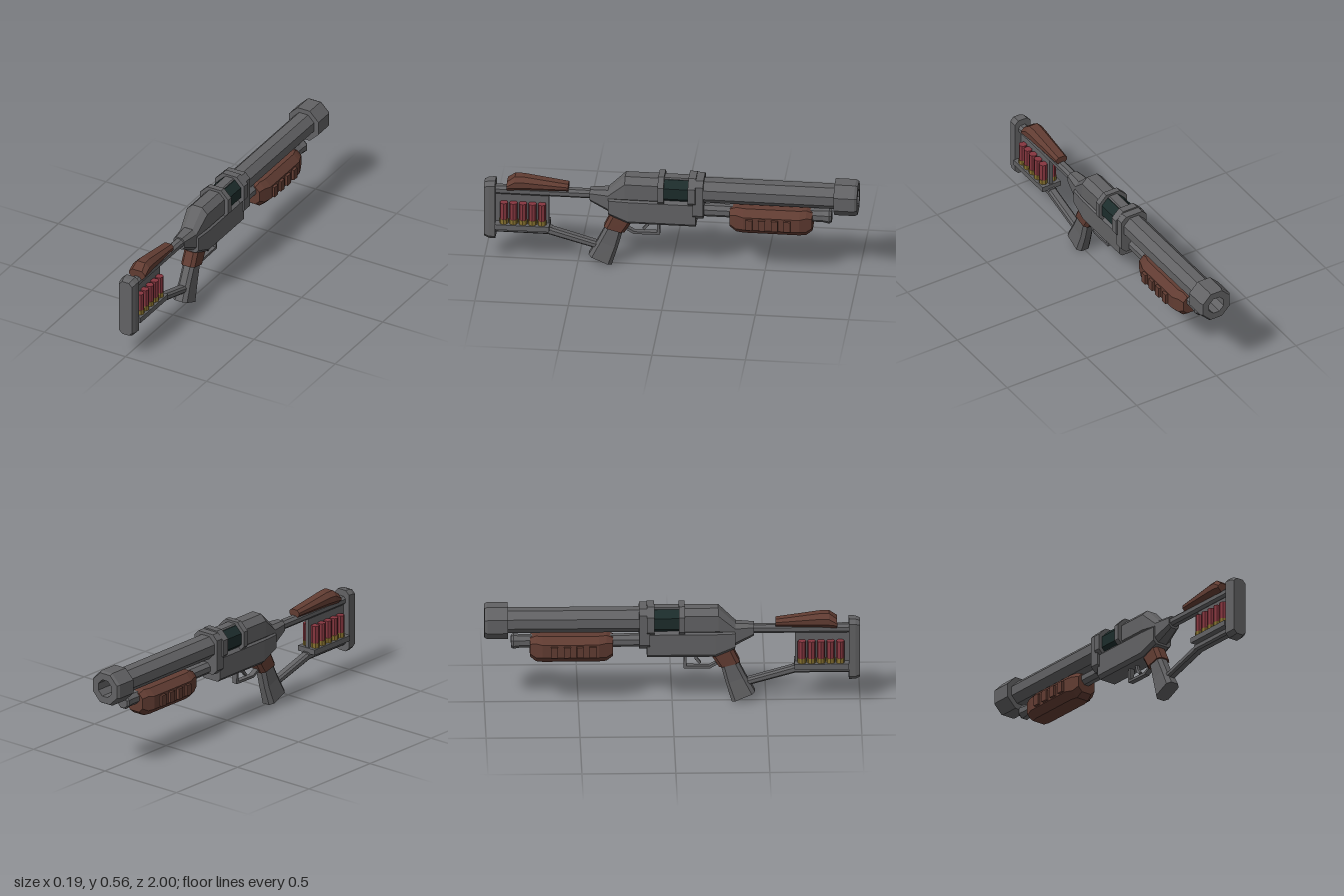
import * as THREE from 'three';

const mat = (name, color) => {
  const m = new THREE.MeshStandardMaterial({ color });
  m.name = name;
  return m;
};

// flat-faceted copy of a geometry
function facet(g) {
  const f = g.index ? g.toNonIndexed() : g;
  f.computeVertexNormals();
  return f;
}

// Chamfered rectangle standing on the line (z0,y0)-(z1,y1), half width w, chamfer c
function section([z0, y0, z1, y1, w, c]) {
  const len = Math.hypot(z1 - z0, y1 - y0);
  const outline = [[c - w, 0], [w - c, 0], [w, c], [w, len - c], [w - c, len], [c - w, len], [-w, len - c], [-w, c]];
  return outline.map(([x, t]) => [x, y0 + (y1 - y0) * t / len, z0 + (z1 - z0) * t / len]);
}

// Skin over a row of sections, closed at both ends
function loft(rows) {
  const s = rows.map(section), pos = [];
  const tri = (a, b, c) => pos.push(...a, ...b, ...c);
  for (let k = 0; k < s.length - 1; k++) {
    for (let i = 0; i < 8; i++) {
      const j = (i + 1) % 8;
      tri(s[k][i], s[k][j], s[k + 1][j]);
      tri(s[k][i], s[k + 1][j], s[k + 1][i]);
    }
  }
  const last = s[s.length - 1];
  for (let i = 1; i < 7; i++) {
    tri(s[0][0], s[0][i + 1], s[0][i]);
    tri(last[0], last[i], last[i + 1]);
  }
  const g = new THREE.BufferGeometry();
  g.setAttribute('position', new THREE.Float32BufferAttribute(pos, 3));
  return facet(g);
}

// Loft along z: rows of [z, bottom, top, half width, chamfer]
const along = (rows) => loft(rows.map(([z, a, b, w, c]) => [z, a, z, b, w, c]));
const prism = (z0, z1, a, b, w, c) => along([[z0, a, b, w, c], [z1, a, b, w, c]]);

export function createModel() {
  const model = new THREE.Group();
  model.name = 'pumpGun';
  const steel = mat('steel grey', 0x626264);
  const wood = mat('brown grip', 0x613c32);
  const teal = mat('dark teal', 0x1c2c2b);
  const red = mat('shell red', 0x86363f);
  const brass = mat('shell brass', 0x87712f);
  const add = (name, geometry, material, parent = model) => {
    const m = new THREE.Mesh(geometry, material);
    m.name = name;
    parent.add(m);
    return m;
  };

  // barrel and hollow muzzle
  add('barrel', prism(-0.89, -0.12, 0.41, 0.536, 0.064, 0.037), steel);
  const profile = [[0.06, 0.875], [0.099, 0.875], [0.099, 0.985], [0.09, 1], [0.05, 1], [0.05, 0.9], [0, 0.9]];
  const muzzle = new THREE.LatheGeometry(profile.map(([r, y]) => new THREE.Vector2(r, y)), 8, Math.PI / 8);
  muzzle.rotateX(-Math.PI / 2).translate(0, 0.471, 0);
  add('muzzle', facet(muzzle), steel);

  // magazine tube with stepped cap
  add('magazineTube', prism(-0.81, -0.12, 0.32, 0.386, 0.033, 0.019), steel);
  add('magazineCap', along([
    [-0.858, 0.322, 0.384, 0.031, 0.018], [-0.845, 0.314, 0.392, 0.039, 0.023],
    [-0.81, 0.32, 0.386, 0.033, 0.019],
  ]), steel);

  // sliding fore grip with ribs
  add('foreGrip', along([
    [-0.757, 0.275, 0.38, 0.055, 0.025], [-0.725, 0.25, 0.395, 0.068, 0.032], [-0.69, 0.25, 0.395, 0.082, 0.036],
    [-0.39, 0.25, 0.395, 0.082, 0.036], [-0.35, 0.25, 0.395, 0.068, 0.032], [-0.315, 0.275, 0.38, 0.055, 0.025],
  ]), wood);
  for (const side of [-1, 1]) {
    for (let i = 0; i < 4; i++) {
      const rib = add('gripRib', facet(new THREE.BoxGeometry(0.03, 0.06, 0.036)), wood);
      rib.position.set(side * 0.082, 0.321, -0.423 - i * 0.068);
    }
  }

  // receiver, collar, and exposed drum
  add('lowerReceiver', along([
    [-0.135, 0.273, 0.425, 0.067, 0.018], [0.23, 0.273, 0.425, 0.067, 0.018], [0.335, 0.315, 0.425, 0.06, 0.018],
  ]), steel);
  add('upperReceiver', along([
    [0.05, 0.39, 0.545, 0.063, 0.033], [0.245, 0.39, 0.545, 0.063, 0.033], [0.337, 0.39, 0.455, 0.05, 0.025],
  ]), steel);
  add('collar', prism(-0.176, -0.12, 0.325, 0.552, 0.079, 0.028), steel);
  add('frontRing', prism(-0.135, -0.095, 0.385, 0.56, 0.089, 0.045), steel);
  add('rearRing', prism(0.035, 0.067, 0.385, 0.56, 0.087, 0.045), steel);
  add('drum', prism(-0.11, 0.05, 0.405, 0.54, 0.07, 0.037), teal);
  add('topRail', prism(-0.11, 0.05, 0.525, 0.548, 0.03, 0.006), steel);

  // neck and stock tube
  add('neck', along([[0.32, 0.32, 0.455, 0.052, 0.024], [0.435, 0.38, 0.448, 0.034, 0.016]]), steel);
  add('stockTube', prism(0.43, 0.95, 0.393, 0.44, 0.026, 0.013), steel);
  add('cheekRest', along([
    [0.55, 0.432, 0.474, 0.034, 0.014], [0.79, 0.427, 0.507, 0.047, 0.024],
    [0.835, 0.425, 0.507, 0.05, 0.025], [0.878, 0.425, 0.476, 0.05, 0.02],
  ]), wood);
  add('buttPlate', along([
    [0.94, 0.13, 0.476, 0.049, 0.022], [0.975, 0.13, 0.474, 0.048, 0.022], [1, 0.14, 0.464, 0.04, 0.02],
  ]), steel);

  // lower stock frame
  add('lowerRail', prism(0.64, 0.95, 0.165, 0.205, 0.026, 0.01), steel);
  add('strut', loft([[0.385, 0.088, 0.375, 0.125, 0.025, 0.01], [0.66, 0.165, 0.65, 0.205, 0.025, 0.01]]), steel);
  add('shellTray', facet(new THREE.BoxGeometry(0.115, 0.03, 0.29).translate(0, 0.213, 0.795)), steel);
  add('shellPlate', facet(new THREE.BoxGeometry(0.02, 0.2, 0.29).translate(0, 0.31, 0.8)), steel);

  // spare shells on both sides
  for (const side of [-1, 1]) {
    for (let i = 0; i < 5; i++) {
      const shell = new THREE.Group();
      shell.name = 'shell';
      shell.position.set(side * 0.028, 0, 0.69 + i * 0.051);
      add('shellCase', facet(new THREE.CylinderGeometry(0.022, 0.022, 0.1, 8).translate(0, 0.302, 0)), red, shell);
      add('shellBase', facet(new THREE.CylinderGeometry(0.0235, 0.0235, 0.03, 8).translate(0, 0.24, 0)), brass, shell);
      model.add(shell);
    }
  }

  // pistol grip
  add('gripCollar', loft([
    [0.2, 0.285, 0.325, 0.305, 0.041, 0.018], [0.25, 0.203, 0.36, 0.232, 0.042, 0.018],
  ]), wood);
  add('pistolGrip', loft([
    [0.26, 0.207, 0.352, 0.23, 0.035, 0.017], [0.285, 0.11, 0.392, 0.148, 0.035, 0.017],
    [0.318, 0.003, 0.442, 0.057, 0.042, 0.02],
  ]), steel);

  // trigger guard and trigger
  const bar = (name, z0, y0, z1, y1, t, w) => {
    const b = add(name, facet(new THREE.BoxGeometry(w, t, Math.hypot(z1 - z0, y1 - y0) + t * 0.6)), steel);
    b.position.set(0, (y0 + y1) / 2, (z0 + z1) / 2);
    b.rotation.x = -Math.atan2(y1 - y0, z1 - z0);
  };
  const guard = [[0.07, 0.285], [0.068, 0.2], [0.2, 0.198], [0.25, 0.228]];
  for (let i = 0; i < 3; i++) bar('triggerGuard', ...guard[i], ...guard[i + 1], 0.014, 0.03);
  bar('trigger', 0.12, 0.28, 0.128, 0.245, 0.016, 0.016);
  bar('trigger', 0.128, 0.245, 0.147, 0.222, 0.014, 0.016);

  return model;
}
